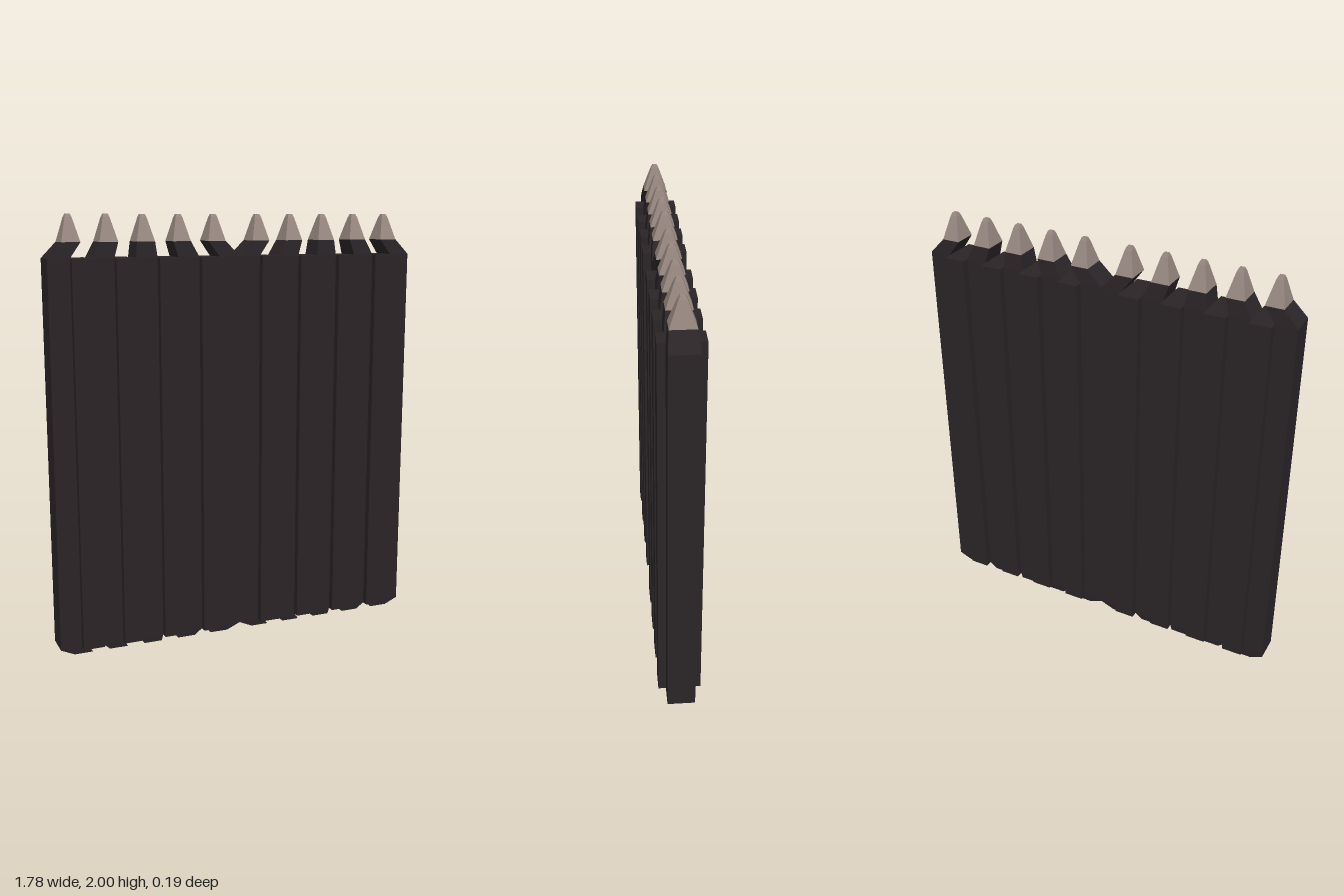
import * as THREE from 'three';

const wood = new THREE.MeshStandardMaterial({ color: 0x2a2427, flatShading: true });
const metal = new THREE.MeshStandardMaterial({ color: 0x978780, flatShading: true });

// Closed four-sided loft through rectangular sections [y, centreX, halfX, halfZ], bottom to top
function loft(sections) {
  const pos = [], index = [];
  for (const [y, cx, hx, hz] of sections) {
    pos.push(cx - hx, y, hz, cx + hx, y, hz, cx + hx, y, -hz, cx - hx, y, -hz);
  }
  const last = (sections.length - 1) * 4;
  for (let r = 0; r < last; r += 4) {
    for (let i = 0; i < 4; i++) {
      const j = (i + 1) % 4;
      index.push(r + i, r + j, r + 4 + j, r + i, r + 4 + j, r + 4 + i);
    }
  }
  index.push(0, 2, 1, 0, 3, 2, last, last + 1, last + 2, last, last + 2, last + 3);
  const g = new THREE.BufferGeometry();
  g.setAttribute('position', new THREE.Float32BufferAttribute(pos, 3));
  g.setIndex(index);
  const flat = g.toNonIndexed();
  flat.computeVertexNormals();
  return flat;
}

export function createModel() {
  const model = new THREE.Group();
  model.name = 'palisade';
  const add = (name, geometry, material) => {
    const mesh = new THREE.Mesh(geometry, material);
    mesh.name = name;
    model.add(mesh);
  };

  const pitch = 0.099, low = 0.03, high = 1.81;
  for (const side of [-1, 1]) {
    // Pointed stakes: straight shaft, ends bent towards the evenly spaced spikes
    for (let k = 0; k < 5; k++) {
      const shaftX = side * pitch * (2 * k + 0.5);
      const tipX = side * (0.109 + 0.1685 * k);
      add('stake', loft([
        [0, tipX, 0.043, 0.06],
        [low, shaftX, pitch / 2, 0.063],
        [high, shaftX, pitch / 2, 0.063],
        [1.88, tipX, 0.042, 0.055],
      ]), wood);
      add('spike', loft([
        [1.88, tipX, 0.042, 0.055],
        [1.985, tipX, 0.016, 0.018],
        [2, tipX, 0.01, 0.01],
      ]), metal);
    }
    // Thicker flat-topped planks between the stakes
    for (let k = 0; k < 4; k++) {
      const x = side * pitch * (2 * k + 1.5);
      add('plank', loft([
        [low, x, pitch / 2, 0.0975],
        [high, x, pitch / 2, 0.0975],
      ]), wood);
    }
  }
  return model;
}
